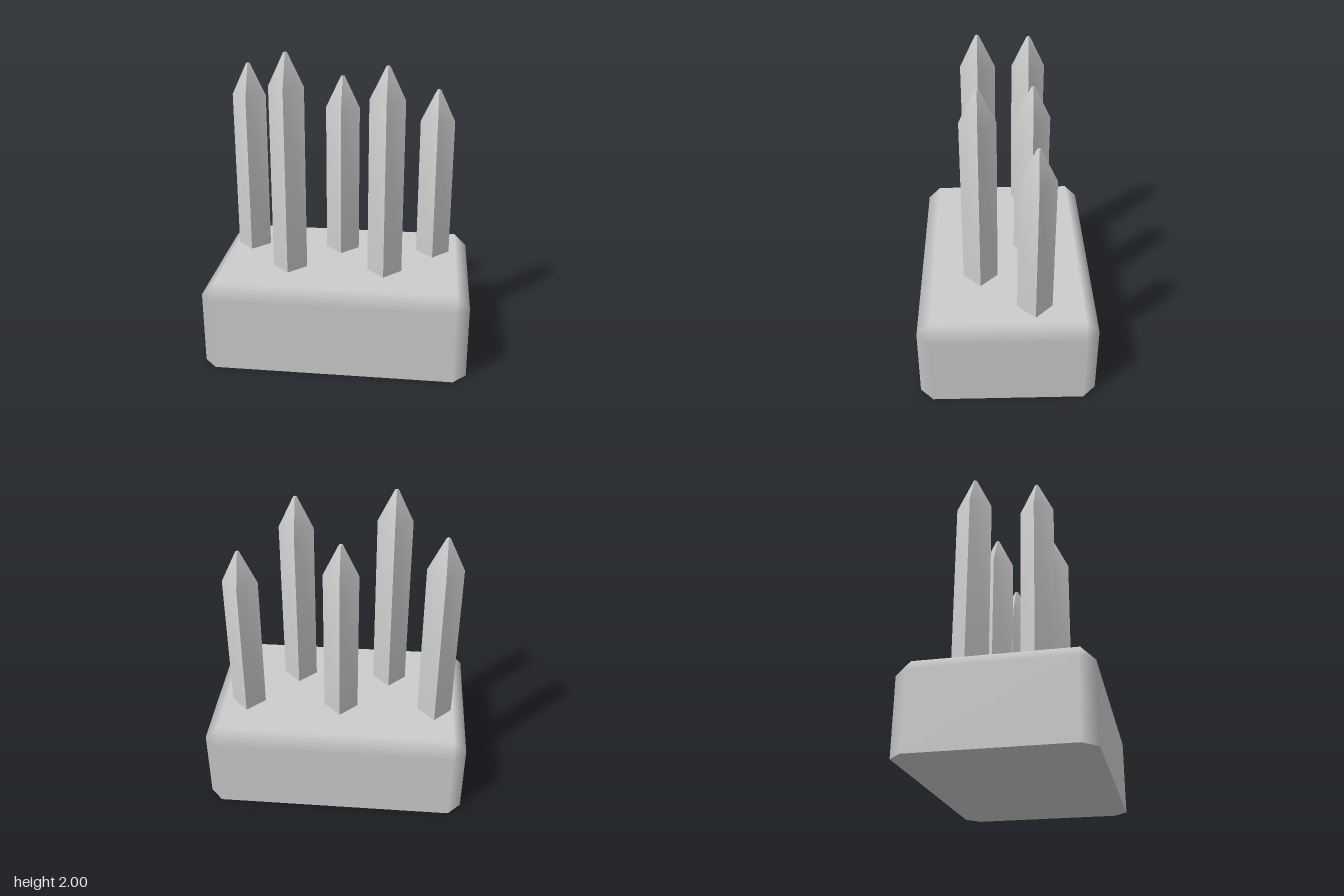
import * as THREE from 'three';
import { toCreasedNormals } from 'three/addons/utils/BufferGeometryUtils.js';

const HALF_X = 0.855, HALF_Z = 0.57, HEIGHT = 0.57, BEVEL = 0.085;

// Box with bevelled uprights and top edges; normals blend across the bevels
function bevelledBase() {
  const positions = [], normals = [], index = [];
  const add = (p, n) => { positions.push(...p); normals.push(...n); return positions.length / 3 - 1; };
  const quad = (a, b, c, d) => index.push(a, b, c, a, c, d);
  const corners = [[1, -1], [-1, -1], [-1, 1], [1, 1]];

  // Eight-point outline, counter-clockwise from above
  const outline = corners.flatMap(([sx, sz], k) => {
    const onX = { x: sx * HALF_X, z: sz * (HALF_Z - BEVEL), n: [sx, 0, 0] };
    const onZ = { x: sx * (HALF_X - BEVEL), z: sz * HALF_Z, n: [0, 0, sz] };
    return k % 2 ? [onZ, onX] : [onX, onZ];
  });
  const ring = (y, normal) => outline.map(({ x, z, n }) => add([x, y, z], normal || n));
  const low = ring(0), high = ring(HEIGHT - BEVEL), under = ring(0, [0, -1, 0]);
  const top = corners.map(([sx, sz]) =>
    add([sx * (HALF_X - BEVEL), HEIGHT, sz * (HALF_Z - BEVEL)], [0, 1, 0]));

  // Walls
  for (let i = 0; i < 8; i++) {
    const j = (i + 1) % 8;
    quad(low[i], low[j], high[j], high[i]);
  }
  // Top bevels and corner triangles
  for (let k = 0; k < 4; k++) {
    index.push(high[2 * k], high[2 * k + 1], top[k]);
    quad(high[2 * k + 1], high[(2 * k + 2) % 8], top[(k + 1) % 4], top[k]);
  }
  // Top and underside
  quad(...top);
  for (let i = 1; i < 7; i++) index.push(under[0], under[i + 1], under[i]);

  const geometry = new THREE.BufferGeometry();
  geometry.setAttribute('position', new THREE.Float32BufferAttribute(positions, 3));
  geometry.setAttribute('normal', new THREE.Float32BufferAttribute(normals, 3));
  geometry.setIndex(index);
  return geometry;
}

// Four-sided post with a tapered, slightly blunt point
function spikeGeometry(tip) {
  const profile = [[0.1125, HEIGHT - 0.02], [0.1125, tip - 0.212], [0.012, tip], [0, tip]]
    .map(([r, y]) => new THREE.Vector2(r, y));
  return toCreasedNormals(new THREE.LatheGeometry(profile, 4), 0.6);
}

export function createModel() {
  const grey = new THREE.MeshStandardMaterial({ color: 0xcccccc });
  grey.name = 'light grey';

  const model = new THREE.Group();
  model.name = 'spikedBlock';

  const base = new THREE.Mesh(bevelledBase(), grey);
  base.name = 'base';
  model.add(base);

  // Staggered spikes: x, z, tip height
  const spikes = [
    [-0.645, -0.173, 1.86],
    [-0.33, 0.17, 2.0],
    [-0.016, -0.173, 1.79],
    [0.299, 0.17, 1.93],
    [0.612, -0.173, 1.715],
  ];
  spikes.forEach(([x, z, tip], i) => {
    const spike = new THREE.Mesh(spikeGeometry(tip), grey);
    spike.name = `spike${i + 1}`;
    spike.position.set(x, 0, z);
    model.add(spike);
  });

  return model;
}
